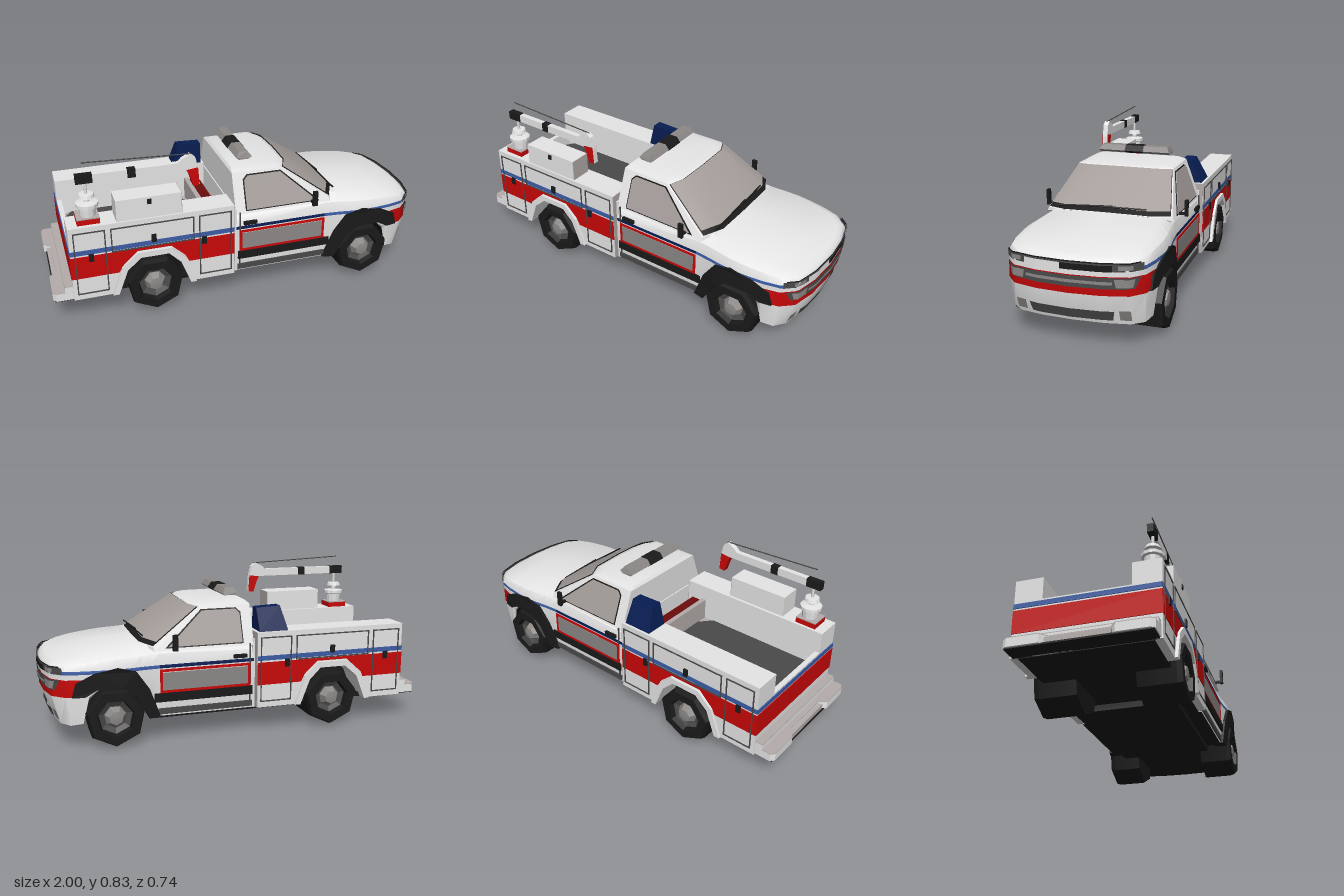
import * as THREE from 'three';
import { toCreasedNormals } from 'three/addons/utils/BufferGeometryUtils.js';
import { ConvexGeometry } from 'three/addons/geometries/ConvexGeometry.js';

const mat = (name, color) => Object.assign(new THREE.MeshStandardMaterial({ color, side: THREE.DoubleSide }), { name });
const M = {
  white: mat('white paint', 0xe6e6e6), red: mat('red paint', 0xca0808), darkRed: mat('dark red', 0x6c0c0c),
  blue: mat('blue stripe', 0x3c5da6), navy: mat('navy cover', 0x071d52), black: mat('black rubber', 0x1a1a1a),
  dark: mat('dark grey', 0x4a4a4a), grey: mat('mid grey', 0x8c8987), glass: mat('grey glass', 0xa59e9b),
  light: mat('light grey', 0xb4adab),
};
const V = (x, y, z) => new THREE.Vector3(x, y, z);

export function createModel() {
  const truck = new THREE.Group();
  truck.name = 'utilityTruck';
  const add = (name, geo, m) => {
    const mesh = new THREE.Mesh(geo, m);
    mesh.name = name;
    truck.add(mesh);
    return mesh;
  };
  const box = (name, m, x0, x1, y0, y1, z0, z1) =>
    add(name, new THREE.BoxGeometry(x1 - x0, y1 - y0, z1 - z0), m).position.set((x0 + x1) / 2, (y0 + y1) / 2, (z0 + z1) / 2);
  const box2 = (name, m, x0, x1, y0, y1, z0, z1) => {
    box(name + 'Right', m, x0, x1, y0, y1, z0, z1);
    box(name + 'Left', m, x0, x1, y0, y1, -z1, -z0);
  };
  const rod = (name, m, a, b, r, sides = 6) => {
    const d = b.clone().sub(a);
    const mesh = add(name, new THREE.CylinderGeometry(r, r, d.length(), sides), m);
    mesh.position.copy(a).addScaledVector(d, 0.5);
    mesh.quaternion.setFromUnitVectors(V(0, 1, 0), d.normalize());
  };
  const extrude = (pts, depth, hole) => {
    const s = new THREE.Shape(pts.map((p) => new THREE.Vector2(...p)));
    if (hole) s.holes.push(new THREE.Path(hole.map((p) => new THREE.Vector2(...p))));
    return new THREE.ExtrudeGeometry(s, { depth, bevelEnabled: false });
  };
  // Side profile extruded in z, shifted by a rule z(y, x), mirrored to both sides
  const sides = (name, m, pts, z, depth = 0.004, hole) => {
    const g = extrude(pts, depth, hole), p = g.attributes.position;
    for (let i = 0; i < p.count; i++) p.setZ(i, p.getZ(i) + (typeof z === 'function' ? z(p.getY(i), p.getX(i)) : z));
    g.computeVertexNormals();
    add(name + 'Right', g, m);
    add(name + 'Left', g, m).scale.z = -1;
  };
  const rect = (x0, x1, y0, y1) => [[x0, y0], [x1, y0], [x1, y1], [x0, y1]];
  const frame = (name, m, x0, x1, y0, y1, t, z) =>
    sides(name, m, rect(x0, x1, y0, y1), z, 0.004, rect(x0 + t, x1 - t, y0 + t, y1 - t));

  // Lower cab, fenders, hood and nose: sections [x, half width, bottom, top]
  const S = [[-0.06, 0.335, 0.13, 0.48], [0.43, 0.335, 0.13, 0.5], [0.49, 0.34, 0.14, 0.497], [0.52, 0.343, 0.25, 0.493],
    [0.58, 0.352, 0.31, 0.488], [0.65, 0.357, 0.32, 0.482], [0.72, 0.354, 0.31, 0.473], [0.78, 0.347, 0.25, 0.465],
    [0.81, 0.344, 0.13, 0.46], [0.89, 0.325, 0.12, 0.447], [0.95, 0.27, 0.12, 0.437], [0.98, 0.15, 0.12, 0.432], [0.99, 0, 0.12, 0.43]];
  const recede = [0.05, 0.05, 0, 0.003, 0, 0, 0.01, 0.03, 0.045];
  const pos = [], tri = [[], [], [], [], []];
  for (const [x, w, b, t] of S) {
    const up = (k) => 0.393 + (t - 0.393) * k;
    const rows = [[0, b], [0.97, b], [1, 0.265], [1, 0.35], [1, 0.376], [1, 0.393], [0.95, up(0.5)], [0.8, up(0.87)], [0, t]];
    for (let j = 0; j < 16; j++) {
      const r = j <= 8 ? j : 16 - j;
      const back = recede[r] * Math.max(0, (x - 0.81) / 0.18);
      pos.push(x - back, Math.max(rows[r][1], b), (j <= 8 ? 1 : -1) * rows[r][0] * w);
    }
  }
  for (let i = 0; i < S.length - 1; i++) for (let j = 0; j < 16; j++) {
    const band = j < 8 ? j : 15 - j;
    const m = band === 0 ? 1 : band === 2 && i >= 8 ? 2 : band === 4 ? (i ? 3 : 4) : 0;
    const k = (j + 1) % 16, a = i * 16 + j, d = i * 16 + k;
    tri[m].push(a, a + 16, d + 16, a, d + 16, d);
  }
  const body = new THREE.BufferGeometry();
  body.setAttribute('position', new THREE.Float32BufferAttribute(pos, 3));
  body.setIndex(tri.flat());
  let start = 0;
  tri.forEach((t, m) => { body.addGroup(start, t.length, m); start += t.length; });
  add('frontBody', toCreasedNormals(body, 0.6), [M.white, M.black, M.red, M.blue, M.navy]);
  box('cabBack', M.white, -0.066, -0.056, 0.13, 0.49, -0.33, 0.33);

  // Strips that follow the curve of the nose
  const noseX = (z, y) => {
    const i = S.findIndex((s, n) => n >= 8 && s[1] >= Math.abs(z) && S[n + 1][1] <= Math.abs(z));
    const [a, b] = [S[i], S[i + 1]];
    return a[0] + (b[0] - a[0]) * (a[1] - Math.abs(z)) / (a[1] - b[1]) - (y < 0.265 ? 0.05 * (0.265 - y) / 0.145 : 0);
  };
  const noseStrip = (name, m, z0, z1, y0, y1, off, inset = 0) => {
    const g = new THREE.PlaneGeometry(1, 1, 16, 1), p = g.attributes.position;
    for (let i = 0; i < p.count; i++) {
      const y = p.getY(i) > 0 ? y1 : y0, k = p.getY(i) > 0 ? 0 : inset;
      const z = (z0 + z1) / 2 - p.getX(i) * (z1 - z0 - 2 * k);
      p.setXYZ(i, noseX(z, y) + off, y, z);
    }
    g.computeVertexNormals();
    add(name, g, m);
  };
  noseStrip('noseWhiteBand', M.white, -0.3, 0.3, 0.352, 0.4, 0.003);
  noseStrip('hoodSeam', M.black, -0.31, 0.31, 0.41, 0.416, 0.006);
  noseStrip('upperGrille', M.dark, -0.32, 0.32, 0.376, 0.41, 0.006);
  noseStrip('upperGrilleBar', M.white, 0.03, 0.205, 0.376, 0.404, 0.009);
  noseStrip('upperGrilleMesh', M.black, -0.2, 0.03, 0.376, 0.404, 0.009);
  noseStrip('lowerGrille', M.dark, -0.31, 0.31, 0.298, 0.349, 0.006, 0.02);
  noseStrip('lowerGrilleBar', M.grey, -0.2, 0.2, 0.318, 0.332, 0.01);
  noseStrip('bumperIntake', M.dark, -0.2, 0.2, 0.14, 0.187, 0.01, 0.01);
  for (const s of [-1, 1]) {
    noseStrip('headlight', M.grey, s * 0.25 - 0.042, s * 0.25 + 0.042, 0.306, 0.343, 0.01, 0.008);
    noseStrip('upperLamp', M.grey, s * 0.255 - 0.03, s * 0.255 + 0.03, 0.384, 0.404, 0.01);
    noseStrip('fogLight', M.grey, s * 0.245 - 0.025, s * 0.245 + 0.025, 0.14, 0.19, 0.01);
  }

  // Greenhouse with a curved windshield
  const low = [V(0.455, 0.48, 0.32), V(0.507, 0.487, 0.22), V(0.512, 0.49, 0), V(0.507, 0.487, -0.22), V(0.455, 0.48, -0.32)];
  const top = [V(0.2, 0.66, 0.255), V(0.232, 0.665, 0.18), V(0.237, 0.667, 0), V(0.232, 0.665, -0.18), V(0.2, 0.66, -0.255)];
  const hull = [...low, ...top];
  for (const s of [-1, 1]) hull.push(V(-0.06, 0.46, 0.33 * s), V(-0.06, 0.66, 0.255 * s), V(-0.05, 0.674, 0.21 * s),
    V(0.17, 0.674, 0.2 * s), V(0.455, 0.46, 0.33 * s));
  add('cabRoof', toCreasedNormals(new ConvexGeometry(hull), 0.4), M.white);
  const screen = (name, m, t0, t1, off, squeeze) => {
    const g = new THREE.PlaneGeometry(1, 1, 4, 1), p = g.attributes.position;
    for (let i = 0; i < 10; i++) {
      const v = low[i % 5].clone().lerp(top[i % 5], i < 5 ? t1 : t0);
      p.setXYZ(i, v.x + off * 0.5, v.y + off * 0.86, v.z * squeeze);
    }
    g.computeVertexNormals();
    add(name, g, m);
  };
  screen('windshieldSeal', M.black, 0, 0.96, 0.006, 0.98);
  screen('windshield', M.glass, 0.08, 0.95, 0.011, 0.972);
  rod('wiperRight', M.black, V(0.5, 0.508, 0.27), V(0.49, 0.52, -0.03), 0.004);
  rod('wiperLeft', M.black, V(0.5, 0.518, 0.06), V(0.485, 0.515, -0.2), 0.004);
  const lean = (o) => (y) => 0.33 - (y - 0.46) * 0.375 + o;
  sides('windowSeal', M.black, [[-0.006, 0.472], [0.4, 0.472], [0.2, 0.646], [0.017, 0.646], [-0.006, 0.623]], lean(0.001), 0.002);
  sides('sideWindow', M.glass, [[0, 0.478], [0.382, 0.478], [0.197, 0.64], [0.02, 0.64], [0, 0.62]], lean(0.003), 0.003);

  // Door trim, handles, mirrors, running boards
  frame('doorRedTrim', M.red, -0.04, 0.43, 0.25, 0.37, 0.013, 0.335);
  sides('doorGreyPanel', M.grey, rect(-0.028, 0.418, 0.263, 0.353), 0.335, 0.003);
  box2('runningTrim', M.black, -0.05, 0.46, 0.205, 0.25, 0.31, 0.342);
  box2('runningBoard', M.dark, -0.05, 0.44, 0.14, 0.17, 0.28, 0.335);
  box2('doorHandle', M.black, -0.02, 0.05, 0.4, 0.418, 0.33, 0.345);
  box2('doorGap', M.dark, -0.042, -0.036, 0.17, 0.47, 0.33, 0.337);
  box2('mirror', M.black, 0.345, 0.37, 0.465, 0.545, 0.357, 0.372);
  box2('mirrorArm', M.black, 0.35, 0.365, 0.47, 0.482, 0.31, 0.36);
  const bulge = (y, x) => 0.3 - 0.025 * ((x - 0.645) / 0.215) ** 2;
  sides('fenderFlare', M.black, [[0.43, 0.13], [0.485, 0.28], [0.55, 0.375], [0.64, 0.4], [0.75, 0.38], [0.84, 0.335], [0.86, 0.265],
    [0.8, 0.265], [0.74, 0.3], [0.62, 0.3], [0.55, 0.25], [0.49, 0.13]], bulge, 0.067);

  // Roof light bar with sloping ends
  const bar = (name, m, w, grow) => {
    const g = extrude([[-0.015, 0.71], [0, 0.698], [0.055, 0.698], [0.07, 0.71], [0.05, 0.736], [0.005, 0.736]], w);
    g.translate(-0.027, -0.715, -w / 2).scale(grow, grow, 1);
    const p = g.attributes.position;
    for (let i = 0; i < p.count; i++) if (w > 0.2) p.setZ(i, p.getZ(i) * (p.getY(i) > 0 ? 0.93 : 1));
    g.computeVertexNormals();
    add(name, g.translate(0.027, 0.715, 0), m);
  };
  bar('lightBar', M.grey, 0.385, 1);
  bar('lightBarCentre', M.black, 0.1, 1.06);

  // Underbody
  box('underbody', M.black, -0.895, 0.44, 0.127, 0.15, -0.31, 0.31);
  box('bumperUnderside', M.black, -0.99, -0.895, 0.13, 0.138, -0.335, 0.335);
  box('chassisRails', M.black, -0.3, 0.45, 0.095, 0.14, -0.25, 0.25);
  box('frontWellLiner', M.black, 0.46, 0.84, 0.125, 0.32, -0.19, 0.19);
  box('rearWellLiner', M.black, -0.89, -0.07, 0.13, 0.31, -0.2, 0.2);

  // Wheels: seven-sided dished tyres
  const wheel = (name, x, inner, outer) => [1, -1].forEach((s) => {
    const w = outer - inner;
    const turn = (part, m, pts, z) => {
      const g = new THREE.LatheGeometry(pts.map((p) => new THREE.Vector2(...p)), 7, s > 0 ? 0 : Math.PI);
      add(name + part, toCreasedNormals(g, 0.3), m).position.set(x, 0.15, z * s);
      truck.children.at(-1).rotation.x = s * Math.PI / 2;
    };
    turn('Tyre', M.black, [[0, 0], [0.147, 0], [0.15, 0.01], [0.15, w - 0.025], [0.14, w], [0.095, w], [0.085, w - 0.03]], inner);
    turn('Rim', M.dark, [[0.09, 0], [0.06, -0.015], [0, -0.015]], outer - 0.025);
    turn('Hub', M.grey, [[0.055, -0.02], [0.035, 0.015], [0, 0.02]], outer - 0.02);
  });
  wheel('front', 0.655, 0.19, 0.366);
  wheel('rear', -0.49, 0.145, 0.36);

  // Service body: side cabinets with wheel arches
  const arch = [[-0.68, 0.13], [-0.63, 0.26], [-0.56, 0.32], [-0.42, 0.32], [-0.36, 0.26], [-0.31, 0.13]];
  sides('cabinet', M.white, [[-0.9, 0.13], ...arch, [-0.075, 0.13], [-0.075, 0.525], [-0.9, 0.525]], 0.21, 0.138);
  box2('cabinetFrontEnd', M.light, -0.076, -0.072, 0.13, 0.523, 0.211, 0.347);
  sides('cabinetRedStripe', M.red, [[-0.9, 0.25], [-0.67, 0.25], [-0.645, 0.29], [-0.575, 0.355], [-0.405, 0.355],
    [-0.335, 0.29], [-0.315, 0.25], [-0.075, 0.25], [-0.075, 0.368], [-0.9, 0.368]], 0.348, 0.003);
  sides('cabinetBlueStripe', M.blue, rect(-0.9, -0.075, 0.378, 0.402), 0.348, 0.003);
  sides('archTrim', M.white, [[-0.71, 0.13], [-0.655, 0.28], [-0.575, 0.35], [-0.405, 0.35], [-0.335, 0.28], [-0.28, 0.13],
    ...[...arch].reverse()], 0.335, 0.028);
  for (const [x0, x1, y0] of [[-0.88, -0.725, 0.16], [-0.7, -0.285, 0.37], [-0.26, -0.09, 0.16]]) {
    frame('cabinetDoorSeam', M.dark, x0, x1, y0, 0.5, 0.006, 0.35);
    const x = x0 < -0.8 ? -0.8 : x0 < -0.5 ? -0.49 : -0.235, y = y0 > 0.3 ? 0.395 : 0.34;
    box2('cabinetLatch', M.black, x - 0.012, x + 0.012, y, y + 0.04, 0.345, 0.358);
  }

  // Bed, tailgate and rear stripes
  box('bedBase', M.light, -0.9, -0.1, 0.3, 0.33, -0.21, 0.21);
  const bedMat = extrude([[-0.88, -0.14], [-0.83, -0.208], [-0.25, -0.208], [-0.192, -0.14], [-0.192, 0.14], [-0.25, 0.208], [-0.83, 0.208], [-0.88, 0.14]], 0.006);
  add('bedMat', bedMat.rotateX(-Math.PI / 2).translate(0, 0.33, 0), M.dark);
  box('bulkhead', M.light, -0.19, -0.165, 0.3, 0.445, -0.21, 0.21);
  box('redLocker', M.darkRed, -0.165, -0.105, 0.3, 0.435, -0.205, 0.205);
  box('tailgate', M.white, -0.9, -0.875, 0.13, 0.412, -0.21, 0.21);
  box('rearRedStripe', M.red, -0.904, -0.899, 0.25, 0.368, -0.349, 0.349);
  box('rearBlueStripe', M.blue, -0.904, -0.899, 0.378, 0.402, -0.349, 0.349);

  // Stepped rear bumper with grey tread plates
  const stepPlate = (name, m, y, depth) => {
    const g = extrude([[-0.94, -0.34], [-0.985, -0.34], [-1, -0.32], [-1, -0.17], [-0.965, -0.14], [-0.965, 0.14], [-1, 0.17], [-1, 0.32], [-0.985, 0.34], [-0.94, 0.34]], depth);
    add(name, g.rotateX(-Math.PI / 2).translate(0, y, 0), m);
  };
  box('bumperStep', M.white, -0.94, -0.895, 0.135, 0.207, -0.34, 0.34);
  box('bumperStepTread', M.light, -0.94, -0.9, 0.207, 0.211, -0.34, 0.34);
  stepPlate('rearBumper', M.white, 0.135, 0.042);
  stepPlate('rearBumperTread', M.light, 0.177, 0.004);
  box('bumperNotchTread', M.light, -0.985, -0.94, 0.137, 0.165, -0.15, 0.15);

  // Tool box and covered reel
  box('toolBox', M.white, -0.665, -0.343, 0.525, 0.636, 0.225, 0.34);
  box('toolBoxEnd', M.light, -0.344, -0.34, 0.525, 0.635, 0.226, 0.339);
  box('toolBoxLatch', M.black, -0.512, -0.492, 0.6, 0.625, 0.338, 0.346);
  const cover = [];
  for (const [x, y, z] of [[-0.245, 0.525, -0.335], [-0.245, 0.525, -0.215], [-0.09, 0.525, -0.335], [-0.09, 0.525, -0.215],
    [-0.22, 0.645, -0.275], [-0.22, 0.645, -0.22], [-0.09, 0.64, -0.275], [-0.09, 0.64, -0.22]]) cover.push(V(x, y, z));
  add('coveredReel', new ConvexGeometry(cover), M.navy);

  // Crane: the hook carries red plates on its sides
  box('craneBase', M.red, -0.85, -0.74, 0.525, 0.552, 0.225, 0.325);
  box('craneBasePlate', M.light, -0.85, -0.74, 0.552, 0.557, 0.225, 0.325);
  const drum = [[0, 0.555], [0.04, 0.555], [0.043, 0.6], [0.055, 0.605], [0.055, 0.622], [0.015, 0.628], [0.015, 0.645], [0.04, 0.65], [0.035, 0.667], [0, 0.67]];
  add('craneDrum', toCreasedNormals(new THREE.LatheGeometry(drum.map((p) => new THREE.Vector2(...p)), 12), 0.5), M.white).position.set(-0.79, 0, 0.275);
  rod('cranePost', M.white, V(-0.79, 0.66, 0.275), V(-0.79, 0.73, 0.275), 0.008);
  box('craneBoom', M.white, -0.83, -0.33, 0.726, 0.766, 0.261, 0.289);
  box('boomEndBand', M.black, -0.835, -0.755, 0.724, 0.768, 0.259, 0.291);
  box('boomMidBand', M.black, -0.59, -0.55, 0.724, 0.768, 0.259, 0.291);
  add('craneHead', extrude([[-0.34, 0.726], [-0.3, 0.726], [-0.285, 0.7], [-0.265, 0.64], [-0.235, 0.64], [-0.24, 0.72], [-0.255, 0.785],
    [-0.28, 0.805], [-0.32, 0.785], [-0.34, 0.766]], 0.028), M.white).position.z = 0.261;
  add('craneHook', extrude([[-0.3, 0.725], [-0.243, 0.732], [-0.237, 0.64], [-0.268, 0.635], [-0.285, 0.69]], 0.032), M.red).position.z = 0.259;
  rod('craneCable', M.dark, V(-0.8, 0.825, 0.275), V(-0.27, 0.803, 0.275), 0.003);
  return truck;
}
